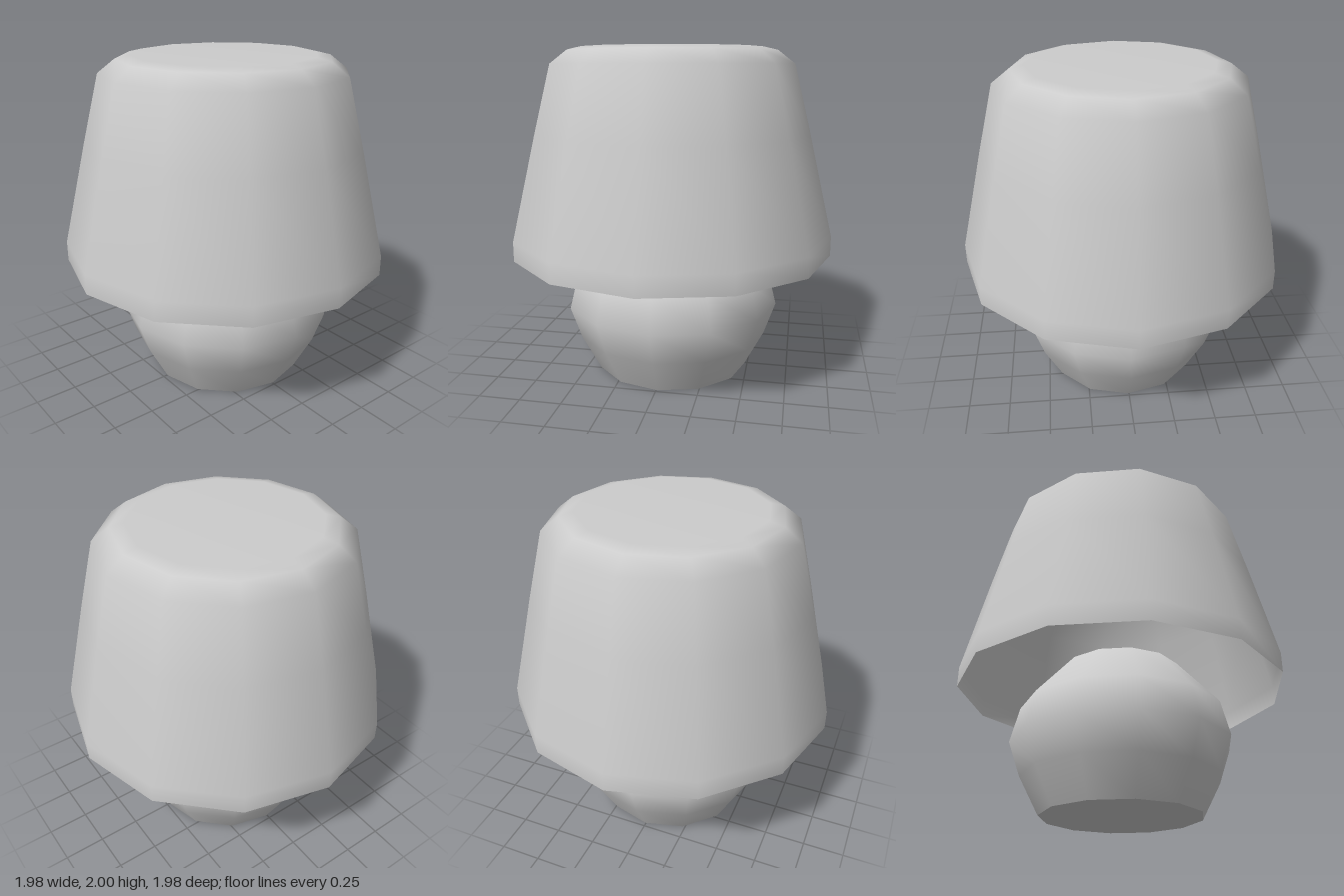
import * as THREE from 'three';

const SIDES = 12;

// Revolves a [radius, height] profile, listed from bottom to top.
function revolve(name, profile, material) {
  const points = profile.map(([r, y]) => new THREE.Vector2(r, y));
  const mesh = new THREE.Mesh(new THREE.LatheGeometry(points, SIDES), material);
  mesh.name = name;
  return mesh;
}

export function createModel() {
  const lamp = new THREE.Group();
  lamp.name = 'tableLamp';
  const solid = new THREE.MeshStandardMaterial({ color: 0xcccccc });
  const thin = new THREE.MeshStandardMaterial({ color: 0xcccccc, side: THREE.DoubleSide });

  // Hollow shade: short straight rim, tapering wall, rounded shoulder and closed top
  lamp.add(revolve('shade', [
    [0.99, 0.75], [0.99, 0.87], [0.842, 1.49], [0.738, 1.9],
    [0.635, 1.98], [0.55, 2], [0, 2],
  ], thin));

  // Bulbous foot, narrowing up inside the shade
  const base = new THREE.Group();
  base.name = 'base';
  base.position.set(0.005, 0, 0.005);
  base.add(revolve('baseBody', [
    [0.478, 0], [0.595, 0.22], [0.665, 0.42], [0.612, 0.63], [0.36, 0.91], [0, 0.91],
  ], solid));

  // Flat underside with a sharp edge
  const underside = new THREE.Mesh(new THREE.CircleGeometry(0.478, SIDES), solid);
  underside.name = 'baseUnderside';
  underside.rotation.x = Math.PI / 2;
  base.add(underside);
  lamp.add(base);

  return lamp;
}
